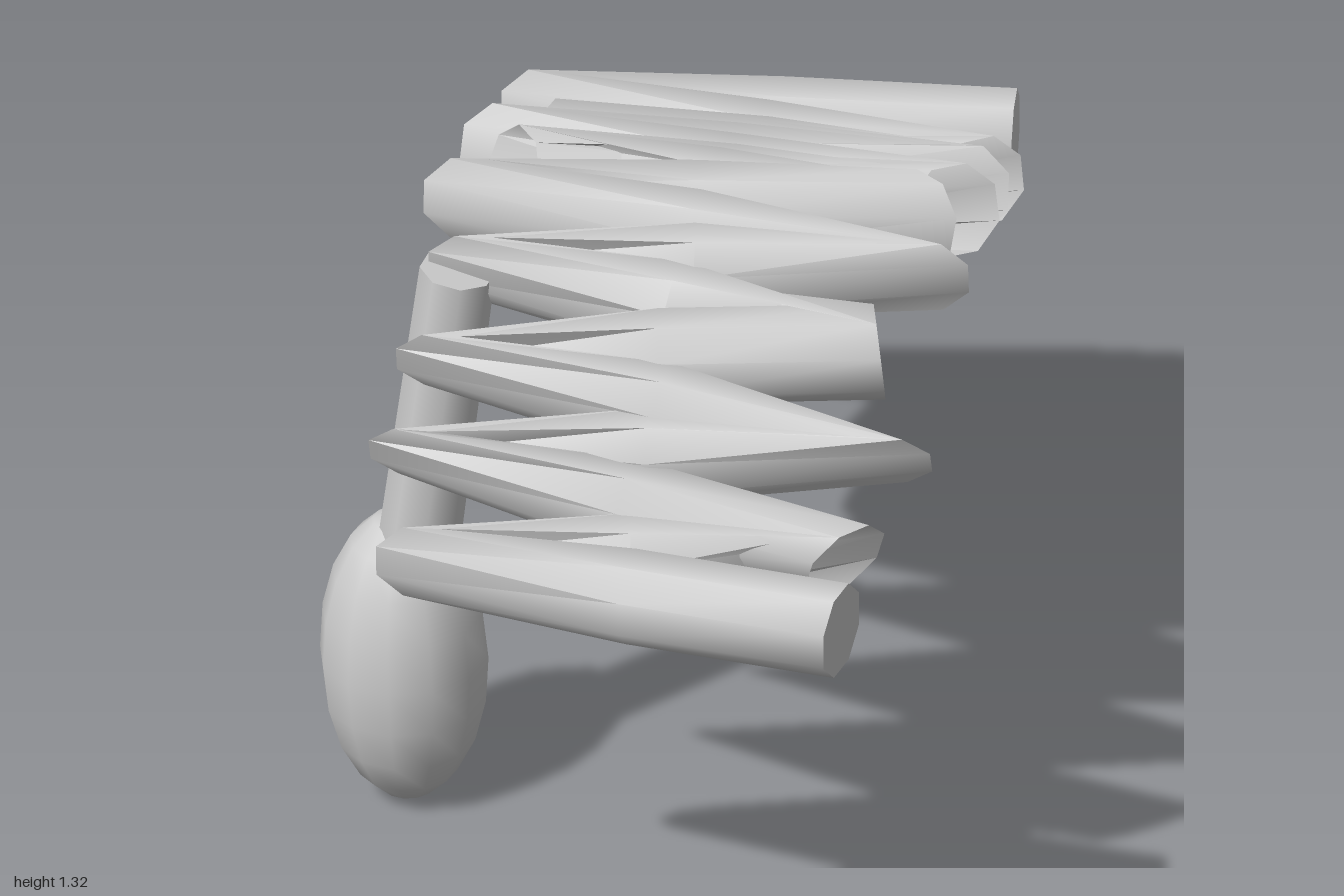
import * as THREE from 'three';
import { toCreasedNormals } from 'three/addons/utils/BufferGeometryUtils.js';

const SIDES = 8, RADIUS = 0.093;

// Coil turns: centre x, y, z, then horizontal heading x, z
const turns = [
  [-0.05, 0.93, -0.93, -0.81, 0.58],
  [-0.78, 0.93, -0.41, 0.5, 0.87],
  [0.035, 0.96, -0.73, 0.9, 0.45],
  [-0.64, 0.98, -0.27, 0.96, -0.27],
  [0.13, 1.06, -0.57, 0.6, 0.8],
  [-0.58, 1.1, -0.06, 0.38, 0.92],
  [0.255, 1.15, -0.4, 0.87, 0.49],
  [-0.425, 1.19, 0.095, -0.38, 0.92],
  [0.295, 1.22, -0.26, -0.1, 0.99],
  [-0.385, 1.235, 0.27, 0.6, 0.8],
  [0.445, 1.235, -0.09, 0.55, 0.83],
  [-0.26, 1.2, 0.4, 0.6, 0.8],
  [0.49, 1.17, 0.09, -0.7, 0.7],
  [-0.16, 1.13, 0.61, 0.6, 0.8],
  [0.645, 1.07, 0.25, 0.55, 0.83],
  [-0.09, 1.03, 0.77, 0.55, 0.83],
  [0.705, 0.96, 0.44, 0.97, 0.2],
  [0.07, 0.93, 0.935, 0.6, 0.8],
  [0.83, 0.93, 0.595, 0.95, -0.3],
].map(([x, y, z, hx, hz]) => ({
  centre: new THREE.Vector3(x, y, z),
  heading: new THREE.Vector3(hx, 0, hz).normalize(),
}));

// Ring of points square to the heading
function ring({ centre, heading }) {
  const side = new THREE.Vector3().crossVectors(heading, new THREE.Vector3(0, 1, 0)).normalize();
  const up = new THREE.Vector3().crossVectors(side, heading).normalize();
  return Array.from({ length: SIDES }, (_, i) => {
    const a = ((i + 0.5) / SIDES) * Math.PI * 2;
    return centre.clone()
      .addScaledVector(up, Math.cos(a) * RADIUS)
      .addScaledVector(side, Math.sin(a) * RADIUS);
  });
}

// Rings at each turn, following the slope of the arch, and midway along each run
function coilRings() {
  const rings = [];
  turns.forEach((turn, i) => {
    const before = turns[i - 1], after = turns[i + 1];
    if (before && after) {
      const along = after.centre.clone().sub(before.centre);
      const rise = along.y;
      along.y = 0;
      turn = { centre: turn.centre, heading: turn.heading.clone() };
      turn.heading.y = (rise / along.length()) * turn.heading.dot(along.normalize());
      turn.heading.normalize();
    }
    rings.push(ring(turn));
    if (after) {
      rings.push(ring({
        centre: turn.centre.clone().lerp(after.centre, 0.5),
        heading: after.centre.clone().sub(turn.centre).normalize(),
      }));
    }
  });
  return rings;
}

// Skin joining the rings in order
function loft(rings) {
  const index = [];
  for (let r = 0; r < rings.length - 1; r++) {
    for (let i = 0; i < SIDES; i++) {
      const a = r * SIDES + i, b = r * SIDES + (i + 1) % SIDES;
      index.push(a, b, a + SIDES, b, b + SIDES, a + SIDES);
    }
  }
  const geometry = new THREE.BufferGeometry().setFromPoints(rings.flat());
  geometry.setIndex(index);
  return toCreasedNormals(geometry, 0.85);
}

// Flat end face
function cap(points, reverse) {
  const geometry = new THREE.BufferGeometry().setFromPoints(points);
  const index = [];
  for (let i = 1; i < SIDES - 1; i++) index.push(0, ...(reverse ? [i + 1, i] : [i, i + 1]));
  geometry.setIndex(index);
  geometry.computeVertexNormals();
  return geometry;
}

export function createModel() {
  const group = new THREE.Group();
  const grey = new THREE.MeshStandardMaterial({ color: 0xcccccc, side: THREE.DoubleSide });
  grey.name = 'light grey';
  const add = (name, geometry) => {
    const mesh = new THREE.Mesh(geometry, grey);
    mesh.name = name;
    group.add(mesh);
    return mesh;
  };

  // Arched zigzag coil with closed ends
  const rings = coilRings();
  add('coil', loft(rings));
  add('coilBackEnd', cap(rings[0], true));
  add('coilFrontEnd', cap(rings[rings.length - 1], false));

  // Leaning stem under the coil
  const top = new THREE.Vector3(-0.275, 1.2, 0.43);
  const bottom = new THREE.Vector3(-0.345, 0.5, 0.475);
  const axis = top.clone().sub(bottom);
  const stem = add('stem', new THREE.CylinderGeometry(0.073, 0.08, axis.length(), 8));
  stem.position.copy(top).add(bottom).multiplyScalar(0.5);
  stem.quaternion.setFromUnitVectors(new THREE.Vector3(0, 1, 0), axis.normalize());

  // Egg-shaped grip
  const grip = add('grip', new THREE.SphereGeometry(1, 12, 10));
  grip.scale.set(0.163, 0.312, 0.163);
  grip.position.set(-0.37, 0.317, 0.475);
  grip.rotation.z = 0.04;

  return group;
}
